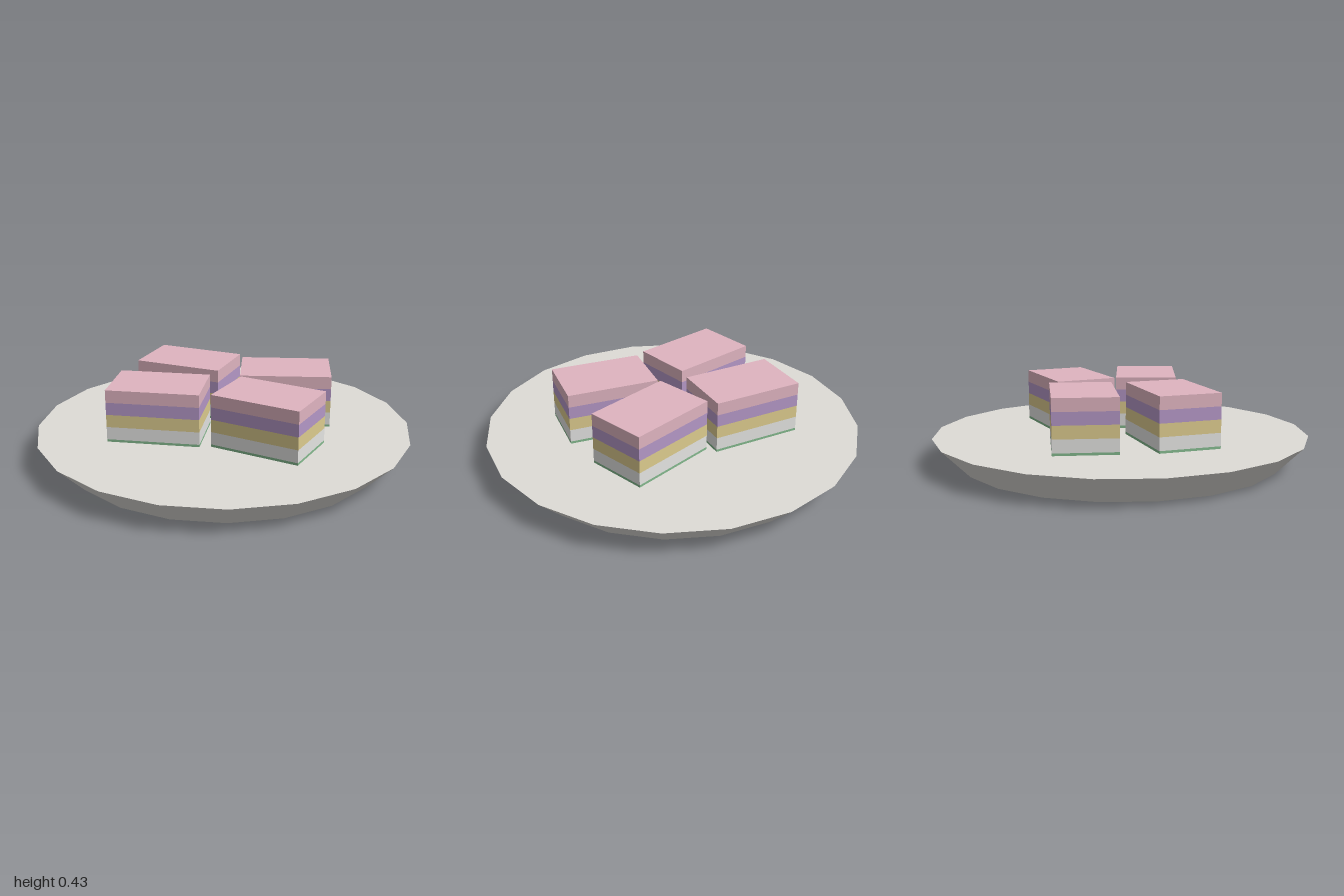
import * as THREE from 'three';

const mat = (name, color) => {
  const m = new THREE.MeshStandardMaterial({ color });
  m.name = name;
  return m;
};

export function createModel() {
  const model = new THREE.Group();
  model.name = 'cakePlatter';

  // Flared plate with a flat top
  const plateTop = 0.145;
  const plate = new THREE.Mesh(
    new THREE.CylinderGeometry(1, 0.855, plateTop, 20),
    mat('plate grey', 0xdedcd7)
  );
  plate.name = 'plate';
  plate.position.y = plateTop / 2;
  model.add(plate);

  // Cake layers from the bottom up: name, upper edge, material
  const layers = [
    ['baseLayer', 0.158, mat('green', 0x84b98e)],
    ['whiteLayer', 0.226, mat('white', 0xe4e4e2)],
    ['yellowLayer', 0.293, mat('yellow', 0xdccb8e)],
    ['purpleLayer', 0.359, mat('purple', 0xb497c6)],
    ['pinkLayer', 0.426, mat('pink', 0xdfb4c0)],
  ];

  // Four slices: x, z, turn
  const slices = [
    [-0.274, -0.247, -0.1],
    [0.284, -0.232, 0.235],
    [-0.288, 0.21, 0.138],
    [0.299, 0.205, -0.21],
  ];
  for (const [x, z, turn] of slices) {
    const slice = new THREE.Group();
    slice.name = 'cakeSlice';
    slice.position.set(x, 0, z);
    slice.rotation.y = turn;
    let bottom = plateTop;
    for (const [name, top, material] of layers) {
      const layer = new THREE.Mesh(new THREE.BoxGeometry(0.484, top - bottom, 0.327), material);
      layer.name = name;
      layer.position.y = (top + bottom) / 2;
      slice.add(layer);
      bottom = top;
    }
    model.add(slice);
  }
  return model;
}
